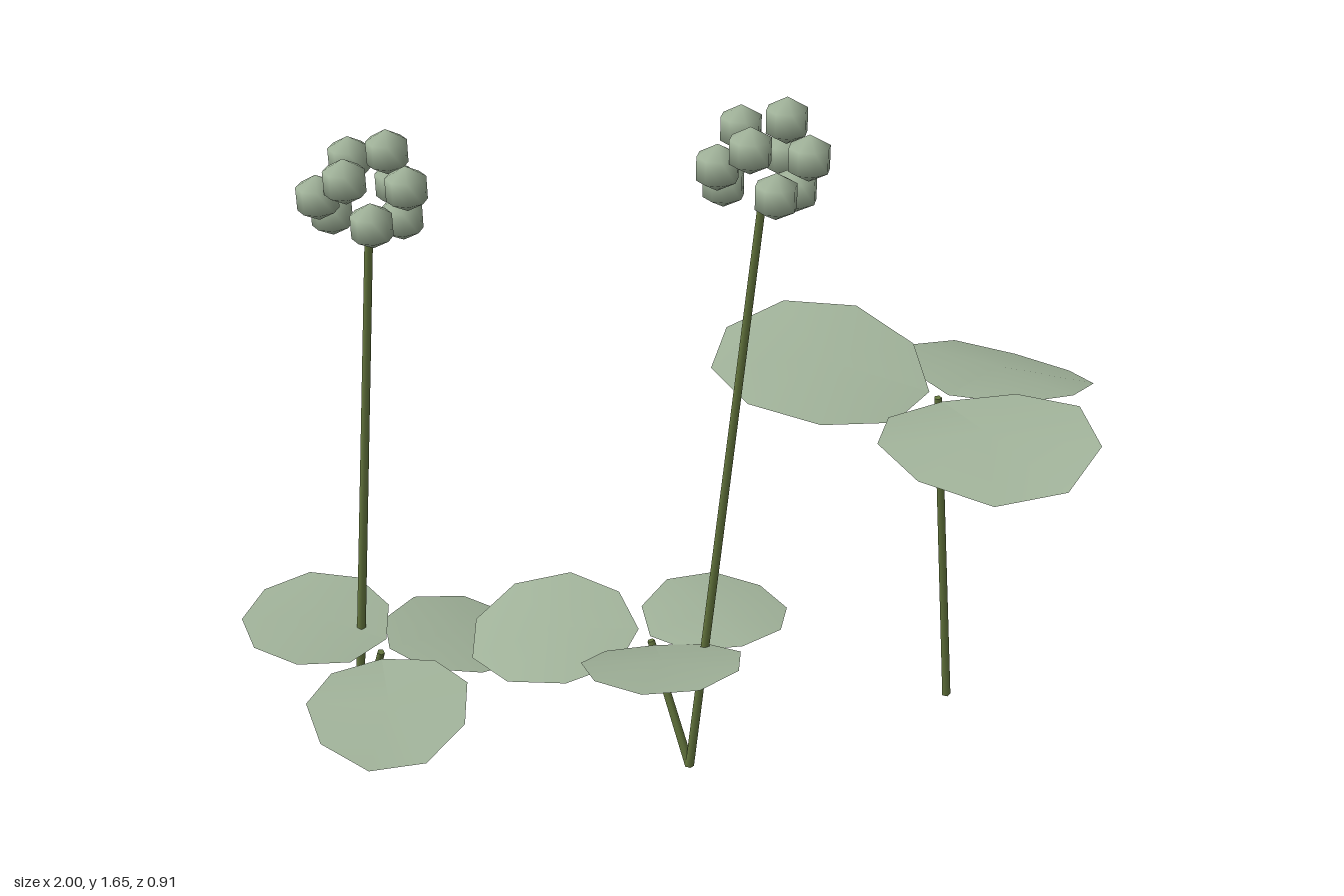
import * as THREE from 'three';

const leafGreen = new THREE.MeshStandardMaterial({ color: 0xa3b59c, side: THREE.DoubleSide });
leafGreen.name = 'sage green';
const stemGreen = new THREE.MeshStandardMaterial({ color: 0x66783f });
stemGreen.name = 'olive stem';

const V = (p) => new THREE.Vector3(...p);

// Straight thin stem between two points
function stem(name, from, to) {
  const a = V(from), b = V(to), dir = b.clone().sub(a);
  const mesh = new THREE.Mesh(new THREE.CylinderGeometry(0.009, 0.011, dir.length(), 5), stemGreen);
  mesh.position.copy(a).add(b).multiplyScalar(0.5);
  mesh.quaternion.setFromUnitVectors(new THREE.Vector3(0, 1, 0), dir.normalize());
  mesh.name = name;
  return mesh;
}

// Nine-sided leaflet, one corner at its root, arched along its length and rolled sideways
function leaflet([inner, outer, halfWidth, arch, roll]) {
  const geo = new THREE.CircleGeometry(1, 9);
  const pos = geo.attributes.position;
  const a = V(inner), b = V(outer);
  const d = b.clone().sub(a).setY(0).normalize();
  const side = new THREE.Vector3(-d.z, 0, d.x).multiplyScalar(halfWidth).setY(roll);
  const p = new THREE.Vector3();
  for (let i = 0; i < pos.count; i++) {
    const t = (1 - pos.getX(i)) / 1.94;
    p.lerpVectors(a, b, t).addScaledVector(side, pos.getY(i));
    p.y += arch * 4 * t * (1 - t);
    pos.setXYZ(i, p.x, p.y, p.z);
  }
  geo.computeVertexNormals();
  const mesh = new THREE.Mesh(geo, leafGreen);
  mesh.name = 'leaflet';
  return mesh;
}

// Berry centres relative to the stem tip
const berries = [
  [0.05, 0.17, -0.01], [-0.095, 0.1, 0.03], [0.08, 0.115, 0.055],
  [-0.04, 0.145, 0.07], [0.005, 0.06, 0.1], [-0.025, 0.135, -0.08],
  [0.065, 0.075, -0.075], [0.07, 0.03, 0], [-0.07, 0.04, -0.03],
];

function flower(base, tip) {
  const g = new THREE.Group();
  g.name = 'flower';
  g.add(stem('flowerStem', base, tip));
  const ball = new THREE.SphereGeometry(0.048, 8, 3);
  for (const c of berries) {
    const m = new THREE.Mesh(ball, leafGreen);
    m.position.copy(V(tip)).add(V(c));
    m.name = 'floret';
    g.add(m);
  }
  return g;
}

// Leaf clusters: stem ends, then leaflets as [root, tip, half width, arch, roll]
const clusters = [
  { name: 'tallLeaf', from: [0.66, 0, -0.11], to: [0.57, 0.86, -0.07], leaflets: [
    [[0.575, 0.86, -0.05], [0.6, 0.9, 0.45], 0.23, 0.04, -0.015],
    [[0.6, 0.855, -0.085], [0.94, 0.75, -0.39], 0.215, 0.03, 0],
    [[0.56, 0.86, -0.1], [0.12, 0.915, -0.3], 0.235, 0.025, 0.035],
  ] },
  { name: 'middleLeaf', from: [-0.015, 0, 0.04], to: [-0.09, 0.315, -0.035], leaflets: [
    [[-0.11, 0.315, -0.085], [-0.485, 0.295, -0.15], 0.195, 0.02, 0.022],
    [[-0.09, 0.32, -0.045], [0.23, 0.305, -0.17], 0.165, 0.02, 0],
    [[-0.085, 0.315, -0.015], [-0.11, 0.43, 0.32], 0.18, 0.02, 0],
  ] },
  { name: 'rightLeaf', from: [-0.77, 0, -0.21], to: [-0.7, 0.3, -0.13], leaflets: [
    [[-0.685, 0.32, -0.15], [-0.98, 0.355, -0.3], 0.17, 0.012, 0.01],
    [[-0.68, 0.3, -0.14], [-0.36, 0.225, -0.275], 0.17, 0.015, -0.01],
    [[-0.7, 0.305, -0.095], [-0.69, 0.253, 0.235], 0.18, 0.03, 0],
  ] },
];

export function createModel() {
  const model = new THREE.Group();
  model.name = 'plant';
  for (const c of clusters) {
    const g = new THREE.Group();
    g.name = c.name;
    g.add(stem('leafStem', c.from, c.to), ...c.leaflets.map(leaflet));
    model.add(g);
  }
  model.add(flower([-0.015, 0, 0.04], [0.115, 1.43, 0.11]));
  model.add(flower([-0.77, 0, -0.21], [-0.645, 1.327, -0.14]));
  return model;
}
